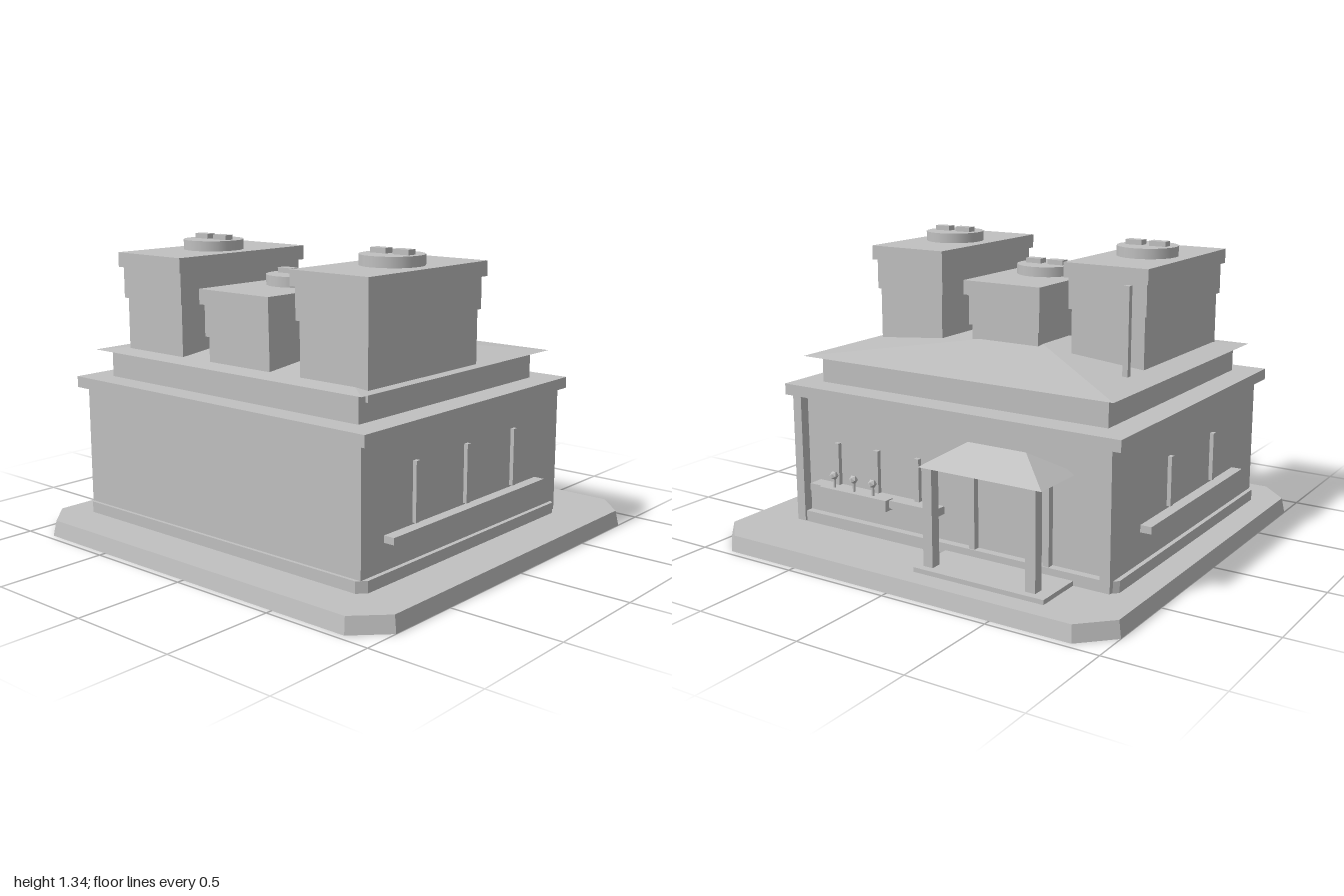
import * as THREE from 'three';

export function createModel() {
  const model = new THREE.Group();
  model.name = 'building';
  const grey = new THREE.MeshStandardMaterial({ color: 0xc0c0c0, side: THREE.DoubleSide });
  grey.name = 'plain grey';

  function add(name, geometry, parent = model) {
    const mesh = new THREE.Mesh(geometry, grey);
    mesh.name = name;
    parent.add(mesh);
    return mesh;
  }
  // box given by its limits on each axis
  function box(name, x0, x1, y0, y1, z0, z1, parent) {
    const m = add(name, new THREE.BoxGeometry(x1 - x0, y1 - y0, z1 - z0), parent);
    m.position.set((x0 + x1) / 2, (y0 + y1) / 2, (z0 + z1) / 2);
    return m;
  }
  // rectangle outline at height y, corners cut by c
  function ring(x0, x1, z0, z1, y, c = 0) {
    if (!c) return [[x0, y, z1], [x1, y, z1], [x1, y, z0], [x0, y, z0]];
    return [
      [x0 + c, y, z1], [x1 - c, y, z1], [x1, y, z1 - c], [x1, y, z0 + c],
      [x1 - c, y, z0], [x0 + c, y, z0], [x0, y, z0 + c], [x0, y, z1 - c],
    ];
  }
  // walls between two outlines, with a top and optionally a bottom
  function loft(low, high, bottom = false) {
    const p = [];
    const n = low.length;
    for (let i = 0; i < n; i++) {
      const j = (i + 1) % n;
      p.push(...low[i], ...low[j], ...high[j], ...low[i], ...high[j], ...high[i]);
    }
    for (let i = 1; i < n - 1; i++) {
      p.push(...high[0], ...high[i], ...high[i + 1]);
      if (bottom) p.push(...low[0], ...low[i + 1], ...low[i]);
    }
    const g = new THREE.BufferGeometry();
    g.setAttribute('position', new THREE.Float32BufferAttribute(p, 3));
    g.computeVertexNormals();
    return g;
  }

  // hollow base and plinth
  add('base', loft(ring(-1, 1, -0.97, 0.97, 0, 0.135), ring(-0.987, 0.987, -0.957, 0.957, 0.07, 0.13)));
  add('plinth', loft(ring(-0.87, 0.78, -0.64, 0.765, 0.045, 0.035), ring(-0.87, 0.78, -0.64, 0.765, 0.12, 0.035)));

  // walls, with the back wall set in between two corner piers
  box('walls', -0.85, 0.76, 0.08, 0.66, -0.605, 0.75);
  box('backPier', 0.715, 0.76, 0.075, 0.66, -0.65, -0.6);
  box('backPier', -0.85, -0.805, 0.075, 0.66, -0.65, -0.6);
  box('cornice', -0.89, 0.8, 0.655, 0.705, -0.655, 0.78);
  box('upperStorey', -0.77, 0.68, 0.7, 0.828, -0.535, 0.67);

  // shallow hip roof
  add('mainRoof', loft(ring(-0.825, 0.735, -0.6, 0.72, 0.828), ring(-0.045, -0.045, 0.06, 0.06, 0.9), true));

  // side ledges and slats
  box('rightLedge', 0.75, 0.81, 0.237, 0.267, -0.475, 0.61);
  for (const z of [-0.28, 0.07, 0.418]) box('rightSlat', 0.75, 0.778, 0.275, 0.53, z - 0.012, z + 0.012);
  box('leftLedge', -0.9, -0.84, 0.253, 0.284, -0.4, 0.52);
  for (const z of [-0.15, 0.27]) box('leftSlat', -0.868, -0.84, 0.295, 0.51, z - 0.012, z + 0.012);

  // back counter, slats and planter with three buds
  box('backLedge', -0.03, 0.655, 0.235, 0.27, -0.675, -0.6);
  for (const x of [0.1, 0.32, 0.54]) box('backSlat', x - 0.012, x + 0.012, 0.27, 0.46, -0.625, -0.6);
  box('planter', 0.21, 0.58, 0.225, 0.275, -0.7, -0.65);
  for (const x of [0.3, 0.405, 0.515]) {
    add('budStem', new THREE.CylinderGeometry(0.006, 0.006, 0.06, 6)).position.set(x, 0.3, -0.672);
    add('bud', new THREE.IcosahedronGeometry(0.02, 0)).position.set(x, 0.33, -0.675);
  }

  // porch
  const porch = new THREE.Group();
  porch.name = 'porch';
  model.add(porch);
  add('porchStep', loft(ring(-0.68, -0.06, -0.865, -0.62, 0.045), ring(-0.68, -0.06, -0.865, -0.62, 0.09)), porch);
  add('porchRoof', loft(ring(-0.66, -0.08, -0.85, -0.575, 0.515), ring(-0.505, -0.23, -0.713, -0.713, 0.61), true), porch);
  for (const x of [-0.11, -0.6]) box('porchPost', x - 0.023, x + 0.023, 0.085, 0.52, -0.832, -0.785, porch);
  for (const x of [-0.19, -0.55]) box('doorFrame', x - 0.014, x + 0.014, 0.085, 0.52, -0.635, -0.6, porch);

  // rooftop units: body, collar, cap, fan and two blocks
  for (const [x, top] of [[-0.518, 1.27], [0, 1.15], [0.518, 1.27]]) {
    const unit = new THREE.Group();
    unit.name = 'roofUnit';
    model.add(unit);
    box('unitBody', x - 0.175, x + 0.175, 0.785, top - 0.2, -0.09, 0.63, unit);
    box('unitCollar', x - 0.186, x + 0.186, top - 0.203, top - 0.06, -0.1, 0.643, unit);
    box('unitCap', x - 0.2, x + 0.2, top - 0.065, top, -0.12, 0.66, unit);
    add('fanDisc', new THREE.CylinderGeometry(0.137, 0.137, 0.05, 20), unit).position.set(x, top + 0.02, 0.267);
    for (const s of [-1, 1]) {
      box('fanBlock', x + s * 0.058 - 0.04, x + s * 0.058 + 0.04, top + 0.04, top + 0.067, 0.243, 0.288, unit);
    }
  }

  // flag on its pole
  box('flagPole', -0.697, -0.672, 0.84, 1.215, -0.243, -0.218);
  const flag = new THREE.Shape();
  flag.moveTo(-0.68, 1.2);
  flag.lineTo(-0.47, 1.2);
  flag.lineTo(-0.53, 1.14);
  flag.lineTo(-0.6, 1.1);
  flag.lineTo(-0.68, 1.1);
  add('flag', new THREE.ShapeGeometry(flag)).position.z = -0.232;

  return model;
}
